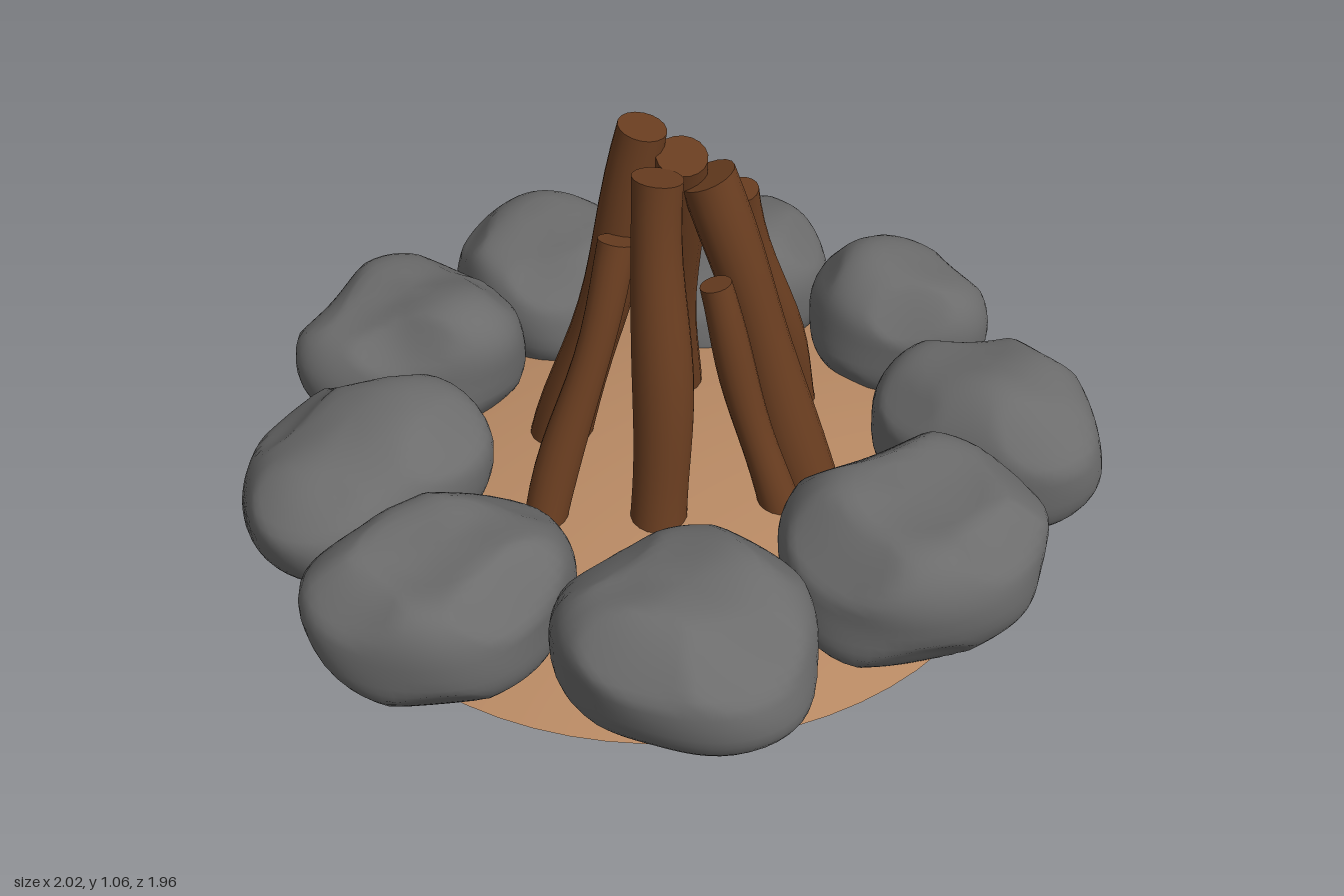
import * as THREE from 'three';
import { mergeVertices } from 'three/addons/utils/BufferGeometryUtils.js';

const stoneMat = new THREE.MeshStandardMaterial({ color: 0x6c6c6c });
const barkMat = new THREE.MeshStandardMaterial({ color: 0x693d20 });
const earthMat = new THREE.MeshStandardMaterial({ color: 0xb98a64, side: THREE.DoubleSide });

// Each stone: x, z, radius, oval amount and angle, three-corner amount and angle,
// bottom, top, outward slope of the upper part, roundness (0.45 boxy, 0.9 round)
const STONES = [
  [-.355, -.68, .25, .12, 1.5, .07, 3.14, .02, .38, -.1, .6],
  [.115, -.72, .25, .07, -.8, .06, .2, .01, .36, .1, .55],
  [.55, -.485, .205, .08, .3, .03, .35, .05, .42, 0, .75],
  [.75, -.02, .255, .1, .68, .06, .87, .06, .45, .05, .7],
  [.55, .42, .285, .06, -.5, .03, -.1, .05, .44, 0, .5],
  [.06, .71, .272, .05, .25, .04, .8, .055, .41, 0, .5],
  [-.48, .6, .265, .13, -.5, .05, 1.13, .05, .41, 0, .5],
  [-.725, .185, .275, .06, -.7, .06, -.2, .05, .4, -.2, .55],
  [-.67, -.33, .262, .07, .25, .06, .52, .04, .4, -.15, .6],
];

// Side profile, bottom to top, in a -1..1 box; the underside tapers more than the top
function stoneProfile(roundness) {
  return Array.from({ length: 29 }, (_, i) => {
    const c = -Math.cos(Math.PI * i / 28);
    const s = i % 28 ? Math.sin(Math.PI * i / 28) : 0;
    return new THREE.Vector2(s ** (c < 0 ? roundness + 0.25 : roundness), Math.sign(c) * Math.abs(c) ** 0.8);
  });
}

function makeStone([cx, cz, radius, oval, ovalAngle, tri, triAngle, bottom, top, slope, roundness], seed) {
  const geo = new THREE.LatheGeometry(stoneProfile(roundness), 56);
  const pos = geo.attributes.position;
  const dist = Math.hypot(cx, cz);
  // Planes that chip the corners flat
  const chips = Array.from({ length: 7 }, (_, k) => {
    const a = seed * 1.37 + k * 0.9, lift = k % 2 ? -0.6 : 0.75;
    return new THREE.Vector3(Math.cos(a), lift, Math.sin(a)).normalize();
  });
  const p = new THREE.Vector3();
  for (let i = 0; i < pos.count; i++) {
    p.fromBufferAttribute(pos, i);
    chips.forEach((n, k) => {
      const over = p.dot(n) - (0.99 + 0.04 * Math.sin(seed * 3 + k * 2));
      if (over > 0) p.addScaledVector(n, -0.85 * over);
    });
    const angle = Math.atan2(p.z, p.x);
    const r = radius * (1 + oval * Math.cos(2 * (angle - ovalAngle)) + tri * Math.cos(3 * (angle - triAngle)));
    const x = p.x * r, z = p.z * r, h = 0.5 + 0.5 * p.y;
    // Soft lumps and hollows that follow position, so the poles stay closed
    const lump = Math.sin(x * 13 + seed * 2.1 + h * 3) * Math.sin(z * 12 + seed * 1.3 - h * 2);
    const side = 1.02 + 0.04 * Math.sin(h * 7 + x * 9 + seed * 1.7) * Math.sin(z * 11 + seed);
    const outward = (x * cx + z * cz) / dist;
    const y = bottom + (top - bottom) * h + h * slope * outward
      + lump * (h > 0.5 ? 0.025 : 0.01) * Math.abs(p.y);
    pos.setXYZ(i, cx + x * side, Math.max(0, y), cz + z * side);
  }
  geo.deleteAttribute('uv');
  geo.deleteAttribute('normal');
  const smooth = mergeVertices(geo, 1e-4);
  smooth.computeVertexNormals();
  return new THREE.Mesh(smooth, stoneMat);
}

// Each log: foot x, z; top x, y, z; radius; sideways bend
const FOOT_Y = 0.05;
const LOGS = [
  [-.03, -.35, .01, 1.0, -.04, .072, .01],
  [.32, -.28, .155, .84, -.14, .048, -.01],
  [.35, .05, .08, .95, -.03, .07, .006],
  [.28, .16, .095, .74, .09, .045, -.006],
  [-.02, .24, -.025, 1.0, .06, .068, .008],
  [-.31, .26, -.12, .81, .03, .048, -.008],
  [-.29, -.09, -.06, 1.05, -.06, .066, -.01],
];

function makeLog([footX, footZ, topX, topY, topZ, radius, bend], seed) {
  const foot = new THREE.Vector3(footX, FOOT_Y, footZ);
  const top = new THREE.Vector3(topX, topY, topZ);
  const length = foot.distanceTo(top);
  const geo = new THREE.CylinderGeometry(radius * .88, radius * 1.08, length, 18, 14);
  const pos = geo.attributes.position;
  for (let i = 0; i < pos.count; i++) {
    const t = pos.getY(i) / length + 0.5;
    const swell = 1 + 0.07 * Math.sin(t * 9 + seed * 1.9);
    const wave = bend * Math.sin(t * Math.PI * 2.2 + seed);
    // Slanted cut at the upper end
    const cut = t > 0.99 ? 0.12 * pos.getX(i) * Math.cos(seed * 2) : 0;
    pos.setXYZ(i, pos.getX(i) * swell + wave, pos.getY(i) + cut, pos.getZ(i) * swell + wave * 0.6);
  }
  geo.deleteAttribute('uv');
  const smooth = mergeVertices(geo, 1e-4);
  smooth.computeVertexNormals();
  const mesh = new THREE.Mesh(smooth, barkMat);
  mesh.position.addVectors(foot, top).multiplyScalar(0.5);
  mesh.quaternion.setFromUnitVectors(new THREE.Vector3(0, 1, 0), top.clone().sub(foot).normalize());
  return mesh;
}

// Builds one named mesh per row of a table
function makeGroup(groupName, partName, rows, make) {
  const group = new THREE.Group();
  group.name = groupName;
  rows.forEach((row, i) => {
    const part = make(row, i + 1);
    part.name = `${partName}${i + 1}`;
    group.add(part);
  });
  return group;
}

export function createModel() {
  const model = new THREE.Group();
  model.name = 'campfire';

  // Shallow mound of bare earth, open underneath
  const mound = Array.from({ length: 13 }, (_, i) => {
    const t = 1 - i / 12;
    return new THREE.Vector2(0.84 * t, 0.065 + 0.11 * (1 - t * t));
  });
  const earth = new THREE.Mesh(new THREE.LatheGeometry(mound, 64), earthMat);
  earth.name = 'earthMound';
  earth.position.set(-0.025, 0, 0.015);
  model.add(earth);

  // Ring of stones around a stack of leaning logs
  model.add(makeGroup('stoneRing', 'stone', STONES, makeStone));
  model.add(makeGroup('logStack', 'log', LOGS, makeLog));
  return model;
}
